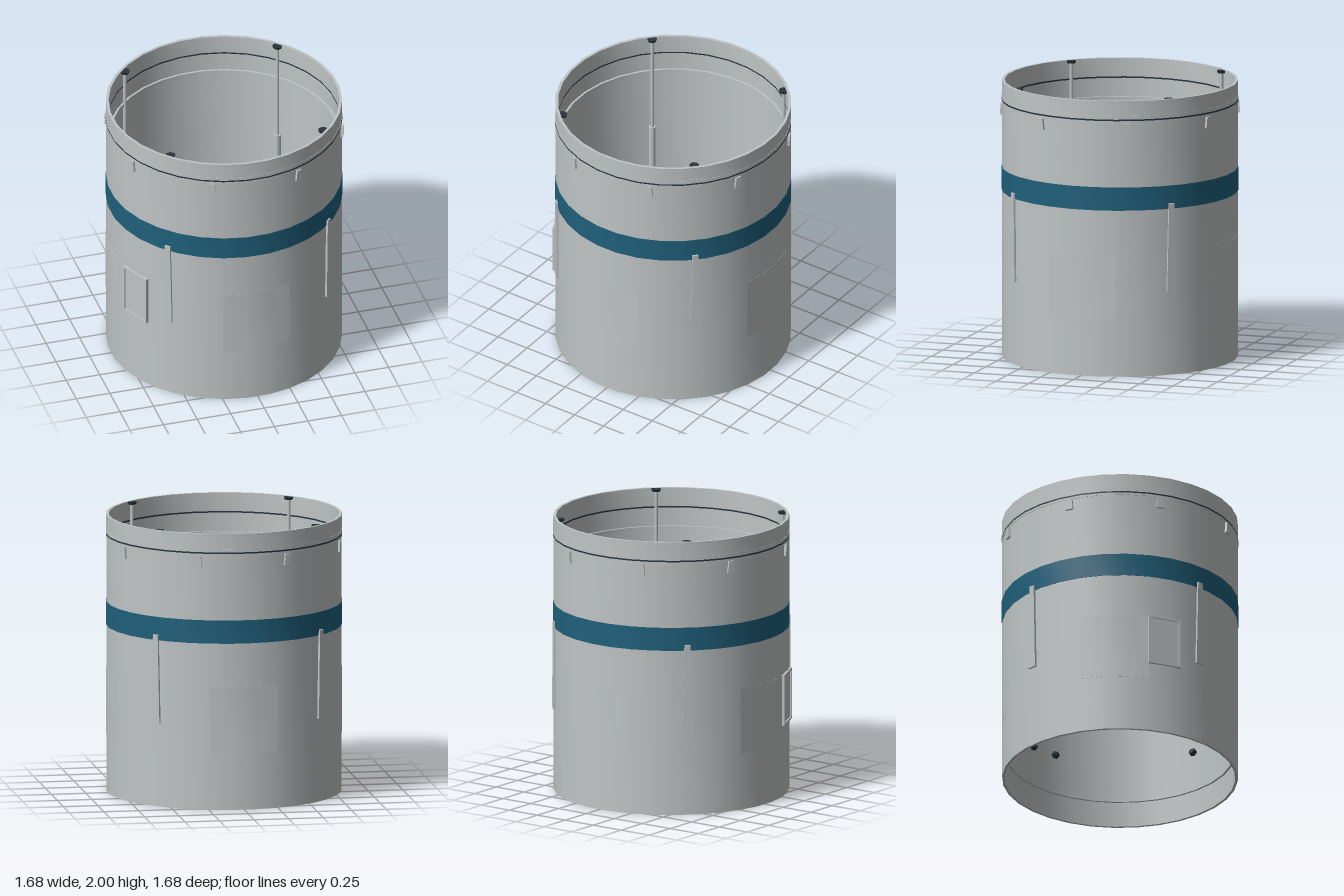
import * as THREE from 'three';
import { toCreasedNormals } from 'three/addons/utils/BufferGeometryUtils.js';

const SIDES = 32;
const STEP = (Math.PI * 2) / SIDES;

function paint(name, color) {
  const m = new THREE.MeshStandardMaterial({ color });
  m.name = name;
  return m;
}

// Revolved closed profile: outer wall up, across the top, inner wall down
function ring(inner, outer, y0, y1, start = STEP / 2, segments = SIDES) {
  const pts = [[outer, y0], [outer, y1], [inner, y1], [inner, y0], [outer, y0]]
    .map(([r, y]) => new THREE.Vector2(r, y));
  const g = new THREE.LatheGeometry(pts, segments, start, segments * STEP);
  return toCreasedNormals(g, Math.PI / 6);
}

// Upright plate tapering from bottom width to top width
function taperedPlate(wBottom, wTop, y0, y1, depth) {
  const s = new THREE.Shape([
    new THREE.Vector2(-wBottom / 2, y0), new THREE.Vector2(wBottom / 2, y0),
    new THREE.Vector2(wTop / 2, y1), new THREE.Vector2(-wTop / 2, y1),
  ]);
  return new THREE.ExtrudeGeometry(s, { depth, bevelEnabled: false });
}

export function createModel() {
  const model = new THREE.Group();
  model.name = 'hollowCylinderSection';
  const shell = paint('light grey', 0xbfc4c4);
  const blue = paint('band blue', 0x1f607b);
  const dark = paint('dark slate', 0x29343b);

  function add(parent, name, geometry, material, x = 0, y = 0, z = 0) {
    const mesh = new THREE.Mesh(geometry, material);
    mesh.name = name;
    mesh.position.set(x, y, z);
    parent.add(mesh);
    return mesh;
  }
  // Group whose +z axis points outward at the given angle around the shell
  function spoke(name, angle) {
    const g = new THREE.Group();
    g.name = name;
    g.rotation.y = angle;
    model.add(g);
    return g;
  }

  // Shell, collar and the dark joint between them
  add(model, 'bodyWall', ring(0.823, 0.842, 0, 1.855), shell);
  add(model, 'jointSeal', ring(0.823, 0.845, 1.855, 1.866), dark);
  add(model, 'topCollar', ring(0.823, 0.843, 1.866, 2), shell);
  add(model, 'upperLip', ring(0.835, 0.845, 1.866, 1.89), shell);
  add(model, 'lowerLip', ring(0.835, 0.845, 1.838, 1.855), shell);
  add(model, 'paintedBand', ring(0.838, 0.845, 1.205, 1.373), blue);

  // Inner stiffening rings
  for (const y of [0.2, 1.71]) add(model, 'innerRing', ring(0.808, 0.826, y - 0.012, y + 0.012), shell);

  // Thin skin panels on the four sides
  for (let i = 0; i < 4; i++) {
    add(model, 'skinPanel', ring(0.838, 0.8435, 0.41, 0.89, i * Math.PI / 2 - 1.5 * STEP, 3), shell);
  }

  // Clips below the joint
  for (let i = 0; i < 8; i++) {
    const g = spoke('clip', Math.PI / 8 + i * Math.PI / 4);
    add(g, 'clipPlate', taperedPlate(0.058, 0.038, 1.755, 1.838, 0.03), shell, 0, 0, 0.824);
  }

  // Diagonal stations: outer fairing, inner push rod and studs
  for (let i = 0; i < 4; i++) {
    const g = spoke('diagonalStation', Math.PI / 4 + i * Math.PI / 2);
    add(g, 'fairing', taperedPlate(0.072, 0.042, 0.605, 1.245, 0.025), shell, 0, 0, 0.828);
    add(g, 'rodSleeve', new THREE.CylinderGeometry(0.025, 0.025, 0.64, 12), shell, 0, 0.92, 0.803);
    add(g, 'rod', new THREE.CylinderGeometry(0.013, 0.013, 0.75, 10), shell, 0, 1.61, 0.803);
    add(g, 'rodCap', new THREE.CylinderGeometry(0.036, 0.03, 0.018, 8), dark, 0, 1.99, 0.803);
    for (const side of [-1, 1]) {
      const stud = add(g, 'stud', new THREE.IcosahedronGeometry(0.031, 0), dark, side * 0.105, 0.49, 0.798);
      stud.material = dark;
    }
  }

  // Access hatch with raised frame and recessed door
  const hatch = spoke('accessHatch', -65.2 * Math.PI / 180);
  const rect = (w, h) => [[-w, -h], [w, -h], [w, h], [-w, h]].map(([x, y]) => new THREE.Vector2(x / 2, y / 2));
  const frame = new THREE.Shape(rect(0.246, 0.372));
  frame.holes.push(new THREE.Path(rect(0.212, 0.342).reverse()));
  add(hatch, 'hatchFrame', new THREE.ExtrudeGeometry(frame, { depth: 0.025, bevelEnabled: false }),
    shell, 0, 0.709, 0.828);
  add(hatch, 'hatchDoor', new THREE.BoxGeometry(0.212, 0.342, 0.016), shell, 0, 0.709, 0.836);

  return model;
}
